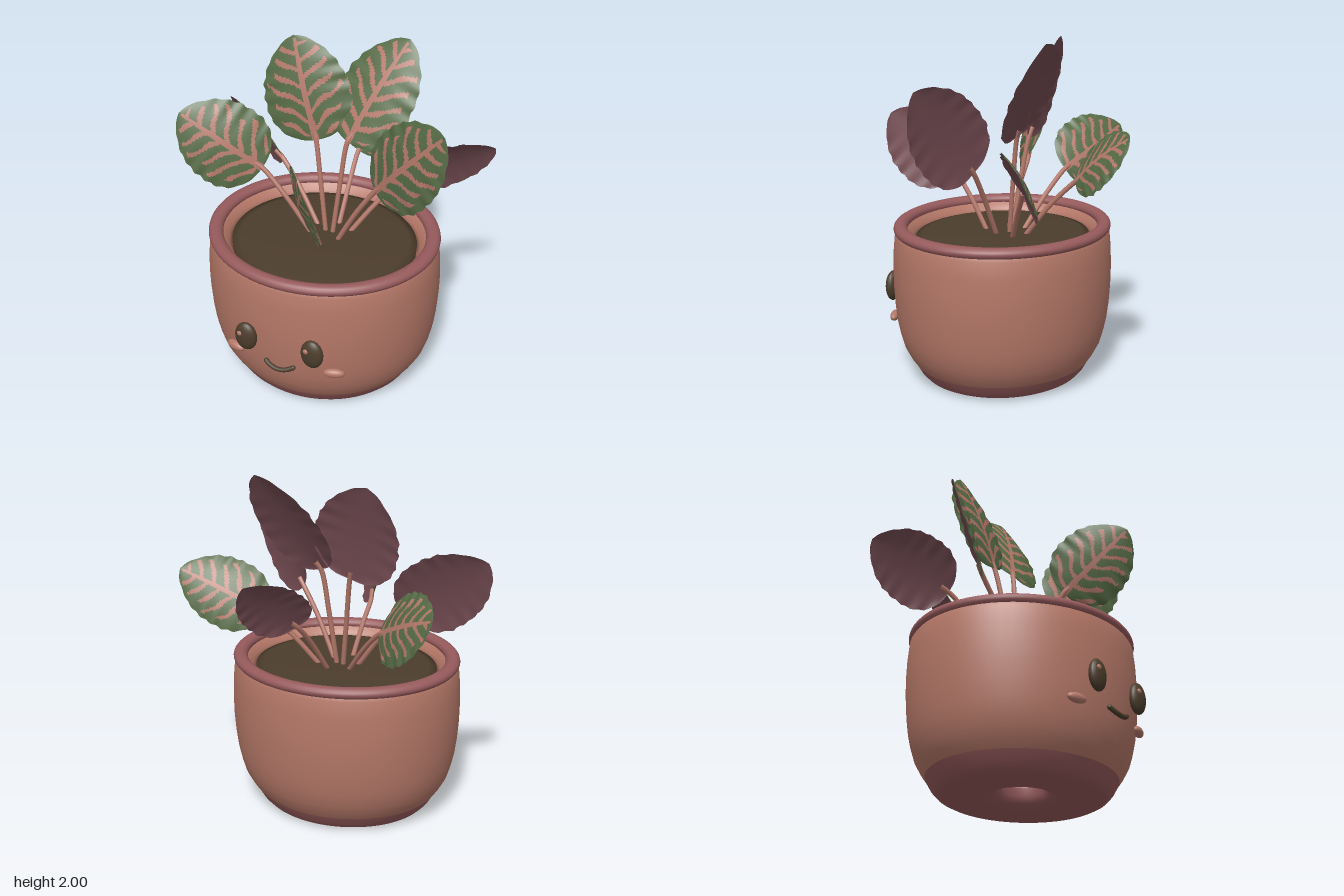
import * as THREE from 'three';

const mat = (name, color) => {
  const m = new THREE.MeshStandardMaterial({ color });
  m.name = name;
  return m;
};
const V = (x, y, z) => new THREE.Vector3(x, y, z);

export function createModel() {
  const root = new THREE.Group();
  root.name = 'pottedPlant';

  const clay = mat('clay', 0xb57868);
  const rimPink = mat('rimPink', 0x965a5c);
  const darkBrown = mat('darkBrown', 0x4c3d2c);
  const leafGreen = mat('leafGreen', 0x566b46);
  const veinPink = mat('veinPink', 0xb4786a);
  const leafPurple = mat('leafPurple', 0x744c53);

  const add = (parent, name, geo, material) => {
    const m = new THREE.Mesh(geo, material);
    m.name = name;
    parent.add(m);
    return m;
  };

  // ---------- pot: slightly oval lathe parts ----------
  const pot = new THREE.Group();
  pot.name = 'pot';
  pot.position.set(-0.007, 0, 0.073);
  pot.scale.z = 0.915;
  root.add(pot);
  const lathe = (pts) => new THREE.LatheGeometry(pts.map(([r, y]) => new THREE.Vector2(r, y)), 64);

  add(pot, 'potBody', lathe([
    [0.563, 0.1], [0.593, 0.14], [0.627, 0.2], [0.649, 0.27], [0.665, 0.34], [0.678, 0.44],
    [0.686, 0.55], [0.688, 0.65], [0.684, 0.76], [0.674, 0.86], [0.655, 0.89],
  ]), clay);
  // inner wall runs down to a floor with the drain hole
  add(pot, 'potInnerWall', lathe([
    [0.612, 0.9], [0.59, 0.88], [0.56, 0.855], [0.55, 0.82], [0.59, 0.6], [0.57, 0.3], [0.48, 0.14], [0.14, 0.11],
  ]), clay);
  add(pot, 'potBase', lathe([
    [0.14, 0.11], [0.142, 0.06], [0.16, 0.025], [0.21, 0.005], [0.28, 0], [0.4, 0], [0.47, 0.002],
    [0.502, 0.018], [0.533, 0.05], [0.563, 0.1],
  ]), rimPink);
  const rim = add(pot, 'potRim', new THREE.TorusGeometry(0.638, 0.043, 16, 72).rotateX(Math.PI / 2), rimPink);
  rim.scale.y = 0.76;
  rim.position.y = 0.9;
  add(pot, 'soil', lathe([
    [0, 0.76], [0.54, 0.78], [0.545, 0.845], [0.5, 0.855], [0.35, 0.862], [0.15, 0.866], [0, 0.867],
  ]), darkBrown);

  // ---------- face ----------
  const face = new THREE.Group();
  face.name = 'face';
  root.add(face);
  const blob = (name, material, p, s) => {
    const m = add(face, name, new THREE.SphereGeometry(1, 24, 16), material);
    m.position.set(...p);
    m.scale.set(...s);
    return m;
  };
  for (const [side, name] of [[-1, 'right'], [1, 'left']]) {
    const ex = -0.006 + side * 0.204;
    blob(name + 'Eye', darkBrown, [ex, 0.507, 0.697], [0.067, 0.091, 0.037]);
    blob(name + 'EyeGlint', veinPink, [ex - 0.025, 0.536, 0.724], [0.018, 0.016, 0.01]);
    const cheek = blob(name + 'Cheek', veinPink, [-0.006 + side * 0.309, 0.36, 0.633], [0.062, 0.028, 0.026]);
    cheek.rotation.y = side * 0.3;
  }
  const smile = new THREE.QuadraticBezierCurve3(V(-0.09, 0.367, 0.692), V(-0.006, 0.317, 0.726), V(0.078, 0.367, 0.692));
  add(face, 'mouth', new THREE.TubeGeometry(smile, 20, 0.014, 10), darkBrown);
  blob('mouthRightEnd', darkBrown, [-0.09, 0.367, 0.692], [0.014, 0.014, 0.014]);
  blob('mouthLeftEnd', darkBrown, [0.078, 0.367, 0.692], [0.014, 0.014, 0.014]);

  // ---------- leaves ----------
  // half width along the leaf, from base to tip
  const outline = new THREE.SplineCurve([
    [0, 0], [0.025, 0.4], [0.12, 0.77], [0.27, 0.97], [0.43, 1], [0.6, 0.94],
    [0.76, 0.76], [0.89, 0.48], [0.965, 0.24], [1, 0],
  ].map(([t, w]) => new THREE.Vector2(t, w)));

  // pink midrib with alternating, wavy side veins
  const isVein = (t, u, f, seed) => {
    const x = Math.abs(u) * f;
    if (x < 0.085 - 0.05 * t) return t < 0.97;
    const p = (t - 0.27 * x) * 6.4 + (u > 0 ? 0.45 : 0) + 0.1 * Math.sin(x * 8 + seed * 2 + t * 5);
    const width = 0.34 + 0.06 * Math.sin(x * 11 + seed);
    const reach = 0.8 + 0.09 * Math.sin(Math.floor(p) * 2.3 + seed);
    return p - Math.floor(p) < width && Math.abs(u) < reach && t > 0.05 && t < 0.93;
  };

  const bladeGeometry = (base, tip, n, width, seed, top) => {
    const rows = top ? 90 : 40, cols = top ? 60 : 16;
    const axis = tip.clone().sub(base);
    const len = axis.length();
    const a = axis.clone().normalize();
    const w = a.clone().cross(n).normalize();
    const pos = [], green = [], pink = [], rowInfo = [];
    for (let i = 0; i <= rows; i++) {
      const o = outline.getPoint(i / rows);
      const t = o.x, f = Math.max(0, o.y);
      rowInfo.push([t, f]);
      const half = 0.5 * width * f * (1 + 0.022 * Math.sin(t * 50 + seed));
      for (let j = 0; j <= cols; j++) {
        const u = (j / cols) * 2 - 1;
        const thick = 0.005 * (1 - u * u) * Math.sin(Math.PI * t) * (top ? 1 : -1);
        const bend = -0.033 * u * u * f + 0.02 * Math.sin(Math.PI * t)
          + 0.004 * u * u * f * Math.sin(t * 38 + seed + (u > 0 ? 1 : 0));
        const p = base.clone().addScaledVector(a, t * len).addScaledVector(w, u * half).addScaledVector(n, thick + bend);
        pos.push(p.x, p.y, p.z);
      }
    }
    for (let i = 0; i < rows; i++) for (let j = 0; j < cols; j++) {
      const A = i * (cols + 1) + j, B = A + 1, D = A + cols + 1, C = D + 1;
      const t = (rowInfo[i][0] + rowInfo[i + 1][0]) / 2, f = (rowInfo[i][1] + rowInfo[i + 1][1]) / 2;
      const u = ((j + 0.5) / cols) * 2 - 1;
      const list = top && isVein(t, u, f, seed) ? pink : green;
      if (top) list.push(A, B, C, A, C, D);
      else list.push(A, C, B, A, D, C);
    }
    const g = new THREE.BufferGeometry();
    g.setAttribute('position', new THREE.Float32BufferAttribute(pos, 3));
    g.setIndex(green.concat(pink));
    if (top) {
      g.addGroup(0, green.length, 0);
      g.addGroup(green.length, pink.length, 1);
    }
    g.computeVertexNormals();
    return g;
  };

  // name, stem root, leaf base, leaf tip, direction of the upper face, width
  const leaves = [
    ['frontRightLeaf', [-0.08, 0.84, 0.07], [-0.395, 1.225, 0.075], [-0.845, 1.555, 0.215], [0.6, 0.36, 1], 0.49],
    ['backRightLeaf', [-0.08, 0.84, -0.02], [-0.385, 1.175, -0.17], [-0.83, 1.385, -0.37], [0.6, 0.62, -1], 0.42],
    ['tallRightLeaf', [-0.02, 0.84, 0.02], [-0.11, 1.41, -0.045], [-0.3, 1.975, -0.17], [0.1, 0.23, 0.97], 0.51],
    ['tallLeftLeaf', [0.02, 0.84, 0.02], [0.08, 1.44, -0.05], [0.335, 2, -0.325], [-0.08, 0.45, 0.82], 0.47],
    ['frontLeftLeaf', [0.07, 0.84, 0.075], [0.315, 1.26, 0.11], [0.75, 1.765, 0.25], [-0.485, 0.15, 1], 0.47],
    ['frontLeaf', [0.01, 0.84, 0.16], [0.0, 1.17, 0.36], [0.15, 1.54, 0.71], [-1, -0.36, 0.75], 0.44],
    ['backLeftLeaf', [0.1, 0.84, -0.03], [0.365, 1.18, -0.21], [0.85, 1.4, -0.385], [-0.58, 0.62, -1], 0.41],
    ['backLeaf', [0.02, 0.84, -0.07], [0.015, 1.2, -0.38], [0.115, 1.49, -0.73], [1, 0.85, 0.95], 0.37],
  ];
  leaves.forEach(([name, s, b, t, nh, width], k) => {
    const g = new THREE.Group();
    g.name = name;
    root.add(g);
    const base = V(...b), tip = V(...t), start = V(...s);
    const a = tip.clone().sub(base).normalize();
    const n = V(...nh);
    n.addScaledVector(a, -n.dot(a)).normalize();
    add(g, 'leafTop', bladeGeometry(base, tip, n, width, k * 1.7, true), [leafGreen, veinPink]);
    add(g, 'leafUnderside', bladeGeometry(base, tip, n, width, k * 1.7, false), leafPurple);
    // stem runs from the soil to just under the blade
    const end = base.clone().addScaledVector(a, 0.06).addScaledVector(n, -0.006);
    const mid = start.clone().lerp(base, 0.55);
    mid.y += 0.02;
    const path = new THREE.CatmullRomCurve3([start, mid, base.clone().addScaledVector(n, -0.004), end]);
    add(g, 'stem', new THREE.TubeGeometry(path, 20, 0.0145, 8), veinPink);
  });

  return root;
}
